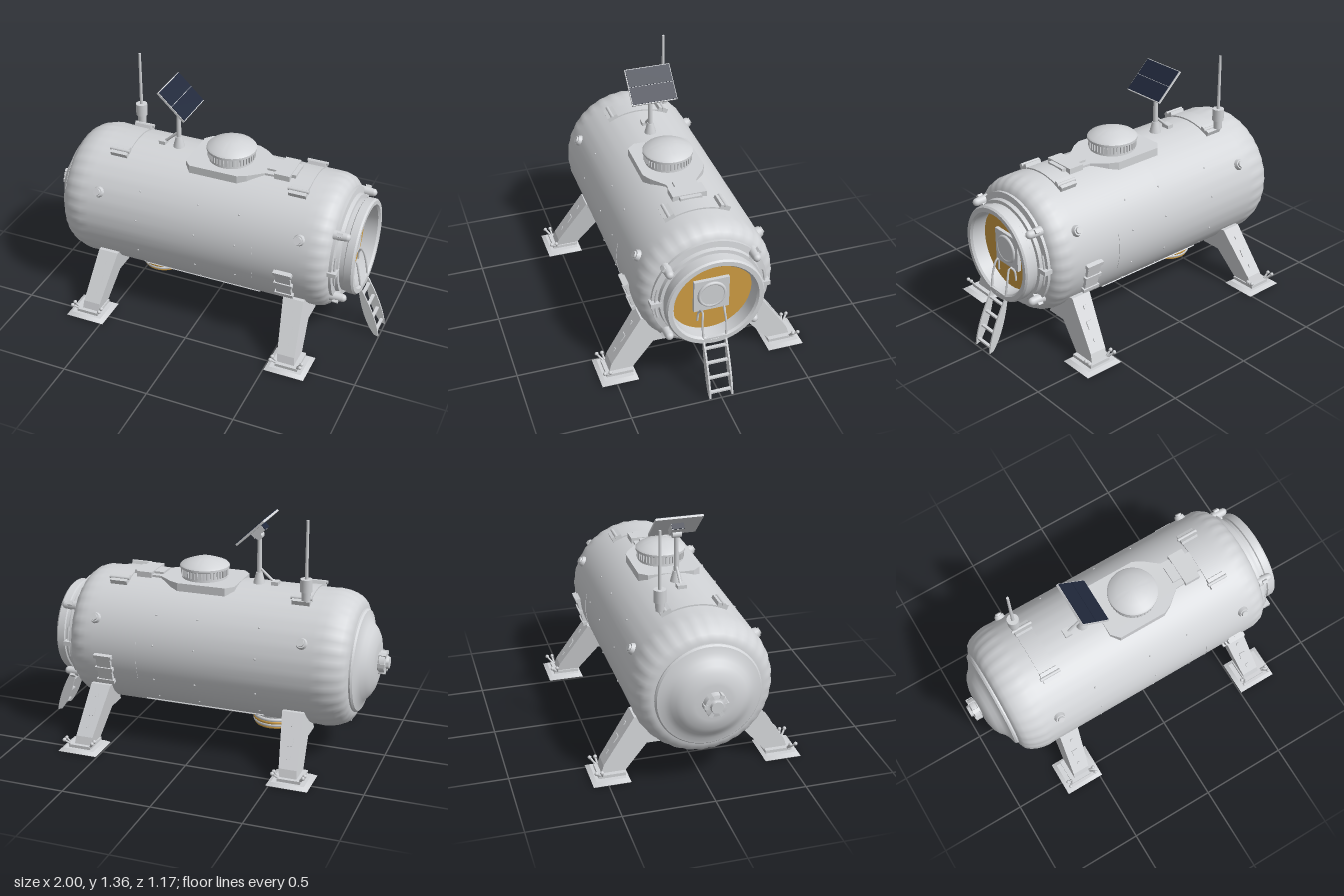
import * as THREE from 'three';
import { toCreasedNormals } from 'three/addons/utils/BufferGeometryUtils.js';

const mat = (name, color) => new THREE.MeshStandardMaterial({ name, color });
const HULL_Y = 0.55, HULL_R = 0.38;

export function createModel() {
  const root = new THREE.Group();
  root.name = 'habitatModule';
  const grey = mat('hullGrey', 0xd2d4d7), gold = mat('goldFoil', 0xd09e43);
  const navy = mat('solarNavy', 0x20283b), dark = mat('darkRubber', 0x5c5d60);

  const add = (name, geo, m, x = 0, y = 0, z = 0, parent = root) => {
    const mesh = new THREE.Mesh(geo, m);
    mesh.name = name;
    mesh.position.set(x, y, z);
    parent.add(mesh);
    return mesh;
  };
  const box = (w, h, d) => new THREE.BoxGeometry(w, h, d);
  const cyl = (r0, r1, h, n = 24) => new THREE.CylinderGeometry(r0, r1, h, n);
  const lathe = (pts, n = 64) => new THREE.LatheGeometry(pts.map(p => new THREE.Vector2(p[0], p[1])), n);
  // revolve [radius, x] points around the hull's long axis
  const latheX = (pts, n) => toCreasedNormals(lathe(pts, n).rotateZ(-Math.PI / 2), 0.6);
  const rod = (name, a, b, r, m, parent = root) => add(name, new THREE.TubeGeometry(
    new THREE.LineCurve3(new THREE.Vector3(...a), new THREE.Vector3(...b)), 1, r, 8), m, 0, 0, 0, parent);
  // group on the hull's side: local z points outward at the given angle above +z
  const onHull = (name, x, angle, r = HULL_R) => {
    const g = new THREE.Group();
    g.name = name;
    g.position.set(x, HULL_Y + r * Math.sin(angle), r * Math.cos(angle));
    g.rotation.x = -angle;
    root.add(g);
    return g;
  };
  const bothSides = (angle, fn) => [angle, Math.PI - angle].forEach(fn);
  // curved strap that hugs the hull around an angle
  const strap = (name, x, w, mid, half, thick) => {
    const s = new THREE.Shape();
    s.absarc(0, 0, HULL_R + thick, mid - half, mid + half, false);
    s.absarc(0, 0, HULL_R - 0.01, mid + half, mid - half, true);
    const g = new THREE.ExtrudeGeometry(s, { depth: w, bevelEnabled: false, curveSegments: 16 });
    g.translate(0, 0, -w / 2).rotateY(-Math.PI / 2);
    return add(name, g, grey, x, HULL_Y, 0);
  };

  // Hull with lightly quilted shoulders
  const hullGeo = lathe([[0.27, -0.842], [0.3, -0.84], [0.33, -0.825], [0.35, -0.8], [0.364, -0.77], [0.374, -0.735],
    [0.379, -0.7], [0.38, -0.65], [0.38, 0], [0.38, 0.6], [0.379, 0.645], [0.375, 0.68], [0.365, 0.715],
    [0.348, 0.74], [0.325, 0.757], [0.29, 0.765], [0.2, 0.765]], 128);
  const p = hullGeo.attributes.position;
  for (let i = 0; i < p.count; i++) {
    const y = p.getY(i), a = Math.atan2(p.getX(i), p.getZ(i));
    if (Math.abs(y) > 0.67 && Math.abs(y) < 0.83) {
      const k = 1.004 + 0.006 * Math.sin(a * 32);
      p.setXYZ(i, p.getX(i) * k, y, p.getZ(i) * k);
    }
  }
  hullGeo.rotateZ(-Math.PI / 2);
  add('hull', toCreasedNormals(hullGeo, 0.6), grey, 0, HULL_Y, 0);

  // Rear dome and its end cap
  add('rearDome', latheX([[0, -0.94], [0.1, -0.94], [0.12, -0.937], [0.16, -0.925], [0.19, -0.908], [0.215, -0.885],
    [0.245, -0.868], [0.278, -0.86], [0.286, -0.85], [0.286, -0.835]]), grey, 0, HULL_Y, 0);
  add('rearCap', latheX([[0, -1], [0.032, -1], [0.036, -0.985], [0.06, -0.98], [0.064, -0.95], [0.05, -0.945], [0.05, -0.93]], 24),
    grey, 0, HULL_Y + 0.005, 0);
  for (let i = 0; i < 6; i++) {
    const a = i * Math.PI / 3;
    add('capLug', box(0.04, 0.022, 0.022), grey, -0.965, HULL_Y + 0.005 + 0.055 * Math.sin(a), 0.055 * Math.cos(a)).rotation.x = -a;
  }

  // Door collar, open towards +x
  add('doorCollar', latheX([[0.318, 0.75], [0.318, 0.775], [0.285, 0.78], [0.28, 0.8], [0.262, 0.802], [0.262, 0.825],
    [0.27, 0.83], [0.27, 0.87], [0.262, 0.88], [0.238, 0.88], [0.228, 0.868], [0.228, 0.765]]), grey, 0, HULL_Y, 0);
  add('goldDoor', cyl(0.229, 0.229, 0.008, 64).rotateZ(Math.PI / 2), gold, 0.785, HULL_Y, 0);
  add('doorPanel', box(0.025, 0.19, 0.195), grey, 0.797, 0.555, 0);
  add('doorPorthole', new THREE.TorusGeometry(0.07, 0.01, 8, 32).rotateY(Math.PI / 2), grey, 0.812, 0.56, 0);
  add('portholeCover', cyl(0.065, 0.068, 0.015, 32).rotateZ(Math.PI / 2), grey, 0.812, 0.56, 0);
  // Lugs, latches and handrails around the door
  for (let i = 0; i < 4; i++) {
    const a = Math.PI / 4 + i * Math.PI / 2 + (i % 2 ? 0.08 : -0.08);
    const y = HULL_Y + 0.31 * Math.sin(a), z = 0.31 * Math.cos(a);
    add('doorLug', cyl(0.022, 0.028, 0.07, 16).rotateZ(-Math.PI / 2), grey, 0.79, y, z);
    add('lugHead', new THREE.SphereGeometry(0.022, 12, 8), grey, 0.825, y, z);
    add('lugArm', box(0.03, 0.022, 0.07), grey, 0.79, y, z).rotation.x = -a;
  }
  [0, Math.PI].forEach(a => {
    add('doorLatch', box(0.05, 0.025, 0.06), grey, 0.78, HULL_Y, 0.3 * Math.cos(a));
    const handrail = new THREE.TorusGeometry(0.302, 0.006, 6, 16, 0.6).rotateZ(a - 0.3).rotateY(Math.PI / 2);
    add('doorRail', handrail, grey, 0.787, HULL_Y, 0);
  });

  // Ladder: two curved flat rails, hooks and rungs
  const rail = new THREE.Shape();
  rail.moveTo(0.862, 0.31);
  rail.quadraticCurveTo(0.895, 0.11, 0.972, 0.012);
  rail.lineTo(0.998, 0.004);
  rail.quadraticCurveTo(0.985, 0.12, 0.876, 0.31);
  [-1, 1].forEach(s => {
    add('ladderRail', new THREE.ExtrudeGeometry(rail, { depth: 0.01, bevelEnabled: false }), grey, 0, 0, s * 0.062 - 0.005);
    const hook = new THREE.CatmullRomCurve3([[0.875, 0.3, 0.062], [0.86, 0.4, 0.066], [0.835, 0.48, 0.06], [0.815, 0.46, 0.072], [0.81, 0.4, 0.078]]
      .map(q => new THREE.Vector3(q[0], q[1], q[2] * s)));
    add('ladderHook', new THREE.TubeGeometry(hook, 16, 0.006, 6), grey);
  });
  [[0.98, 0.035], [0.95, 0.11], [0.92, 0.19], [0.888, 0.265], [0.872, 0.32]].forEach(([x, y]) =>
    add('ladderRung', box(0.018, 0.01, 0.124), grey, x, y, 0));

  // Legs with sloped braces, feet and clamp levers
  const leg = (x, back) => {
    const g = new THREE.Group();
    g.name = 'landingLeg';
    g.position.x = x;
    g.rotation.y = back ? Math.PI : 0;
    root.add(g);
    const out = Math.sign(x) * (back ? -1 : 1);
    const s = new THREE.Shape([[0.15, 0.178], [0.27, 0.178], [0.41, 0.015], [0.53, 0.015], [0.51, 0.08], [0.335, 0.335], [0.22, 0.33]]
      .map(q => new THREE.Vector2(-q[0], q[1])));
    const geo = new THREE.ExtrudeGeometry(s, { depth: 0.118, bevelEnabled: false });
    geo.translate(0, 0, -0.059).rotateY(Math.PI / 2);
    const v = geo.attributes.position;
    const shift = y => out * 0.04 * (0.34 - y) / 0.34;
    for (let i = 0; i < v.count; i++) v.setX(i, v.getX(i) * (0.8 + 0.6 * v.getY(i)) + shift(v.getY(i)));
    geo.computeVertexNormals();
    add('legStrut', geo, grey, 0, 0, 0, g);
    [[0.28, 0.02], [0.2, 0.045], [0.13, 0.02]].forEach(([y, h]) => {
      const z = 0.335 + (0.335 - y) * 0.68;
      add('legFitting', box(h * 0.8, h, 0.012), grey, shift(y), y, z, g).rotation.x = -0.6;
    });
    const fx = shift(0) + out * 0.005;
    const foot = add('footPlate', cyl(0.115, 0.145, 0.016, 4).rotateY(Math.PI / 4), grey, fx, 0.012, 0.48, g);
    foot.scale.x = 1.12;
    add('footSole', box(0.225, 0.005, 0.2), dark, fx, 0.0025, 0.48, g);
    add('footCollar', box(0.13, 0.022, 0.15), grey, fx, 0.026, 0.47, g);
    [-1, 1].forEach(d => {
      [0.53, 0.56].forEach(z => {
        rod('footLever', [fx + d * 0.05, 0.02, 0.52], [fx + d * 0.085, 0.068, z], 0.006, grey, g);
        add('leverKnob', new THREE.SphereGeometry(0.011, 8, 6), grey, fx + d * 0.085, 0.068, z, g);
      });
    });
  };
  [-0.555, 0.575].forEach(x => [false, true].forEach(back => leg(x, back)));

  // Belly thruster: stacked foil rings and a cap
  for (let i = 0; i < 4; i++)
    add('bellyRing', new THREE.TorusGeometry(0.119 - (i === 0 ? 0.008 : 0), 0.01, 8, 48).rotateX(Math.PI / 2), i % 2 ? grey : gold, -0.36, 0.121 + i * 0.015, 0);
  add('bellyCap', cyl(0.118, 0.108, 0.08, 48), grey, -0.36, 0.15, 0);

  // Roof base plate, hatch and stepped duct
  const base = new THREE.Shape([[-0.15, -0.13], [-0.11, -0.175], [0.17, -0.175], [0.22, -0.15], [0.3, -0.085], [0.4, -0.08],
    [0.4, 0.08], [0.3, 0.085], [0.22, 0.15], [0.17, 0.175], [-0.11, 0.175], [-0.15, 0.13]].map(q => new THREE.Vector2(...q)));
  add('roofPlate', new THREE.ExtrudeGeometry(base, { depth: 0.053, bevelEnabled: false }).rotateX(-Math.PI / 2), grey, 0, 0.88, 0);
  add('hatchNeck', cyl(0.122, 0.128, 0.06, 48), grey, 0.07, 0.96, 0);
  for (let i = 0; i < 40; i++) {
    const a = i * Math.PI / 20;
    add('hatchRib', box(0.01, 0.04, 0.009), grey, 0.07 + 0.128 * Math.cos(a), 0.967, 0.128 * Math.sin(a)).rotation.y = -a;
  }
  add('hatchLid', toCreasedNormals(lathe([[0, 0.985], [0.13, 0.985], [0.139, 0.99], [0.139, 1.003], [0.13, 1.012], [0.09, 1.028], [0.05, 1.042], [0, 1.043]]), 0.6),
    grey, 0.07, 0, 0);
  [[0.33, 0.06, 0.1], [0.4, 0.09, 0.19], [0.445, 0.05, 0.12]].forEach(([x, w, d], i) =>
    add('roofDuct', box(w, 0.04, d), grey, x, 0.925 + (i === 1 ? 0.005 : 0), 0));

  // Roof straps with end blocks
  [-0.54, 0.52].forEach(x => {
    strap('roofStrap', x, 0.095, Math.PI / 2, 0.45, 0.008);
    [-1, 1].forEach(s => {
      const g = onHull('strapBlock', x, Math.PI / 2 + s * 0.4, HULL_R + 0.012);
      add('block', box(0.1, 0.06, 0.028), grey, 0, 0, 0, g);
      add('blockPin', cyl(0.01, 0.01, 0.12, 10).rotateZ(Math.PI / 2), grey, 0, 0, 0.012, g);
    });
  });

  // Solar panel on a mast
  add('mastFoot', cyl(0.018, 0.036, 0.07, 16), grey, -0.25, 0.955, 0);
  add('mast', cyl(0.012, 0.014, 0.25, 16), grey, -0.25, 1.09, 0);
  rod('mastStrut', [-0.35, 0.93, 0], [-0.25, 1.02, 0], 0.008, grey);
  add('strutFoot', box(0.04, 0.03, 0.05), grey, -0.345, 0.935, 0);
  const panel = new THREE.Group();
  panel.name = 'solarPanel';
  panel.position.set(-0.235, 1.243, 0);
  panel.rotation.z = -0.76;
  root.add(panel);
  add('panelFrame', box(0.212, 0.012, 0.262), grey, 0, 0, 0, panel);
  [-1, 1].forEach(s => add('solarCells', box(0.1, 0.004, 0.254), navy, s * 0.0515, 0.0075, 0, panel));
  add('panelDrive', box(0.08, 0.035, 0.07), grey, 0, -0.022, 0, panel);
  add('driveCover', box(0.004, 0.033, 0.068), navy, -0.042, -0.022, 0, panel);
  add('panelJoint', cyl(0.02, 0.02, 0.05, 16).rotateX(Math.PI / 2), grey, -0.25, 1.2, 0);

  // Whip antenna
  add('antennaBase', cyl(0.027, 0.024, 0.09, 16), grey, -0.57, 0.965, -0.18);
  add('antennaHousing', cyl(0.033, 0.033, 0.07, 16), grey, -0.57, 1.005, -0.18);
  add('antennaRod', cyl(0.0075, 0.0095, 0.33, 10), grey, -0.57, 1.195, -0.18);

  // Side fittings, mirrored front and back
  bothSides(0.5, a => [-0.595, 0.595].forEach(x => {
    const g = onHull('sidePort', x, a);
    add('portRim', cyl(0.026, 0.034, 0.03, 20).rotateX(Math.PI / 2), grey, 0, 0, 0.005, g);
    add('portCap', cyl(0.018, 0.02, 0.016, 20).rotateX(Math.PI / 2), grey, 0, 0, 0.022, g);
  }));
  bothSides(-0.25, a => {
    const g = onHull('sideBox', 0.53, a);
    add('boxBody', box(0.085, 0.17, 0.03), grey, 0, 0, 0, g);
    [-0.08, 0, 0.08].forEach(y => add('boxBar', box(0.105, 0.022, 0.024), grey, 0, y, 0.01, g));
  });
  bothSides(-0.06, a => strap('sideSeam', 0.34, 0.005, a, 0.3, 0.002));
  bothSides(-0.94, a => add('lowerStrip', box(0.7, 0.012, 0.012), grey, 0, 0, 0, onHull('lowerTrim', -0.01, a)));
  // Rivet rows
  const rivet = new THREE.SphereGeometry(0.006, 6, 4);
  [-0.35, 0, 0.24].forEach(x => [-0.75, -0.35, 0.2, 0.65].forEach(e =>
    bothSides(e, a => add('rivet', rivet, grey, 0, 0, 0, onHull('rivetSpot', x, a)))));
  return root;
}
